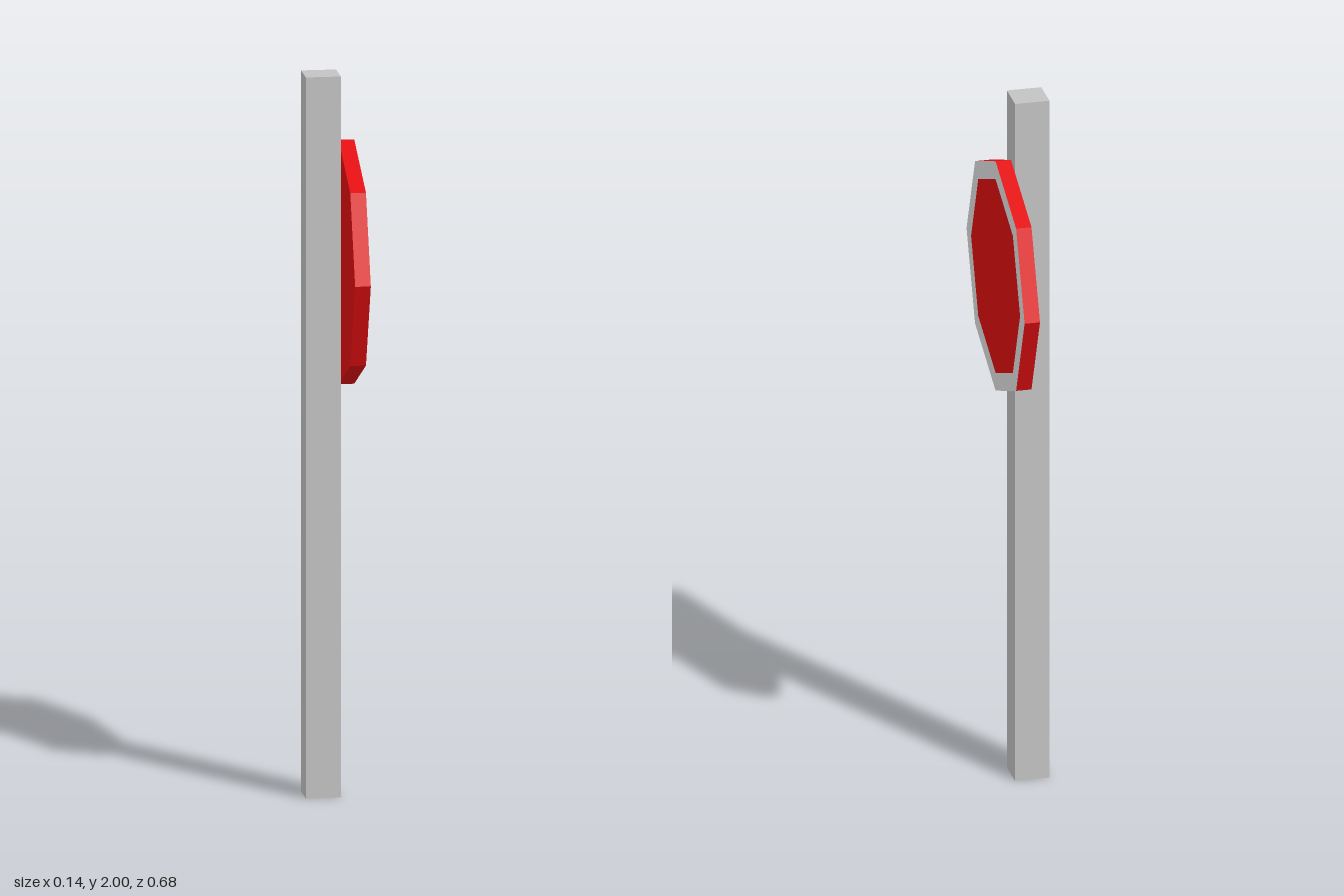
import * as THREE from 'three';

export function createModel() {
  const model = new THREE.Group();
  model.name = 'roadSign';

  const material = (name, color, extra = {}) =>
    new THREE.MeshStandardMaterial({ name, color, flatShading: true, ...extra });
  const postGrey = material('post grey', 0xc3c3c3, { side: THREE.DoubleSide });
  const borderGrey = material('border light grey', 0xe2e2e2);
  const signRed = material('sign red', 0xe20f11);

  const add = (parent, name, geometry, mat) => {
    const mesh = new THREE.Mesh(geometry, mat);
    mesh.name = name;
    parent.add(mesh);
    return mesh;
  };

  // Square post, open at the bottom (the -y face is dropped from the index)
  const postGeometry = new THREE.BoxGeometry(0.096, 2, 0.096);
  const faces = Array.from(postGeometry.index.array);
  faces.splice(18, 6);
  postGeometry.setIndex(faces);
  postGeometry.clearGroups();
  add(model, 'post', postGeometry, postGrey).position.set(-0.022, 1, 0);

  // Octagonal sign, built facing +z and then turned to face +x
  const sides = 8, radius = 0.339, innerRadius = 0.286, depth = 0.043;
  const sign = new THREE.Group();
  sign.name = 'sign';
  sign.position.set(0.0475, 1.476, 0);
  sign.rotation.y = Math.PI / 2;
  model.add(sign);

  const edge = new THREE.CylinderGeometry(radius, radius, depth, sides, 1, true);
  add(sign, 'signEdge', edge.rotateX(Math.PI / 2), signRed);

  const back = new THREE.CircleGeometry(radius, sides).rotateY(Math.PI);
  add(sign, 'signBack', back, signRed).position.z = -depth / 2;

  const border = new THREE.RingGeometry(innerRadius, radius, sides);
  add(sign, 'signBorder', border, borderGrey).position.z = depth / 2;

  const face = new THREE.CircleGeometry(innerRadius, sides);
  add(sign, 'signFace', face, signRed).position.z = depth / 2;

  return model;
}
